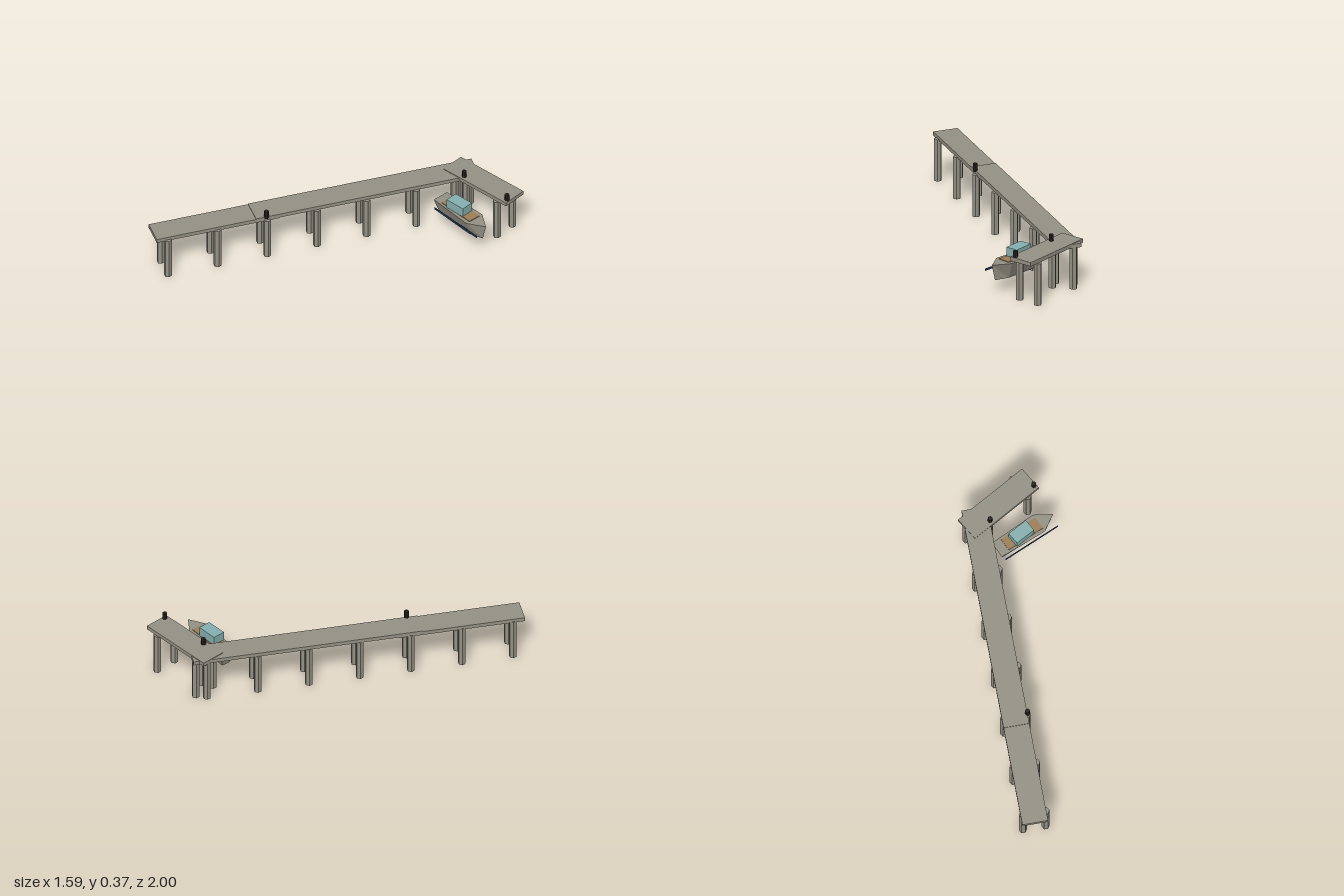
import * as THREE from 'three';

const material = (name, color) => {
  const m = new THREE.MeshStandardMaterial({ color });
  m.name = name;
  return m;
};

export function createModel() {
  const wood = material('weathered wood', 0x959185);
  const black = material('bollard black', 0x241f1a);
  const hullGrey = material('hull grey', 0x959184);
  const tan = material('deck tan', 0x9c7f58);
  const teal = material('cabin teal', 0x86b0b0);
  const blue = material('stripe blue', 0x1f3a5f);

  const model = new THREE.Group();
  model.name = 'pierWithBoat';

  const add = (parent, name, geometry, mat, x, y, z, turn = 0) => {
    const mesh = new THREE.Mesh(geometry, mat);
    mesh.name = name;
    mesh.position.set(x, y, z);
    mesh.rotation.y = turn;
    parent.add(mesh);
    return mesh;
  };

  // Walkway runs diagonally, 30 degrees off the z axis
  const angle = Math.PI / 6;
  const dx = Math.sin(angle), dz = -Math.cos(angle);
  const start = { x: -0.725, z: 0.951 };
  const walkway = (name, from, length, y) => {
    const mid = from + length / 2;
    add(model, name, new THREE.BoxGeometry(0.17, 0.027, length), wood,
      start.x + dx * mid, y, start.z + dz * mid, -angle);
  };
  walkway('lowerWalkway', 0, 0.843, 0.2985);
  walkway('upperWalkway', 0.681, 1.528, 0.3035);

  // Platform at the far end
  add(model, 'platform', new THREE.BoxGeometry(0.545, 0.027, 0.17), wood, 0.52, 0.3085, -0.885);

  // Six-sided piles: seven pairs under the walkway, two under the platform
  const pileGeometry = new THREE.CylinderGeometry(0.026, 0.026, 0.292, 6).toNonIndexed();
  pileGeometry.computeVertexNormals();
  const pile = (x, z) => add(model, 'pile', pileGeometry, wood, x, 0.146, z);
  for (let i = 0; i < 7; i++) {
    const x = -0.68 + i * 0.17, z = 0.8875 - i * 0.2945;
    for (const side of [-1, 1]) pile(x + side * 0.065, z + side * 0.0375);
  }
  for (const x of [0.335, 0.705]) for (const z of [-0.81, -0.96]) pile(x, z);

  // Mooring bollards
  const bollardGeometry = new THREE.CylinderGeometry(0.016, 0.016, 0.055, 6).toNonIndexed();
  bollardGeometry.computeVertexNormals();
  for (const [x, y, z] of [[-0.275, 0.338, 0.343], [0.402, 0.339, -0.83], [0.775, 0.339, -0.83]]) {
    add(model, 'bollard', bollardGeometry, black, x, y, z);
  }

  // Boat, turned slightly
  const boat = new THREE.Group();
  boat.name = 'boat';
  boat.position.set(0.55, 0, -0.653);
  boat.rotation.y = -0.107;
  model.add(boat);

  // Hull: five-sided outline, drawn in toward the keel
  const outline = new THREE.Shape([
    [-0.221, -0.058], [0.109, -0.07], [0.221, 0], [0.109, 0.07], [-0.221, 0.058],
  ].map(([x, y]) => new THREE.Vector2(x, y)));
  const hull = new THREE.ExtrudeGeometry(outline, { depth: 0.112, bevelEnabled: false });
  hull.rotateX(-Math.PI / 2);
  const p = hull.attributes.position;
  for (let i = 0; i < p.count; i++) {
    if (p.getY(i) < 0.05) p.setXYZ(i, p.getX(i) * 0.87, p.getY(i), p.getZ(i) * 0.48);
  }
  hull.computeVertexNormals();
  add(boat, 'hull', hull, hullGrey, 0, 0.101, 0);

  // Deck panel, cabin and side stripe
  add(boat, 'deckPanel', new THREE.BoxGeometry(0.268, 0.008, 0.088), tan, -0.024, 0.214, 0);
  add(boat, 'cabin', new THREE.BoxGeometry(0.144, 0.064, 0.086), teal, -0.032, 0.248, 0.005, 0.09);
  add(boat, 'sideStripe', new THREE.BoxGeometry(0.41, 0.014, 0.005), blue, 0.005, 0.16, 0.07);

  return model;
}
